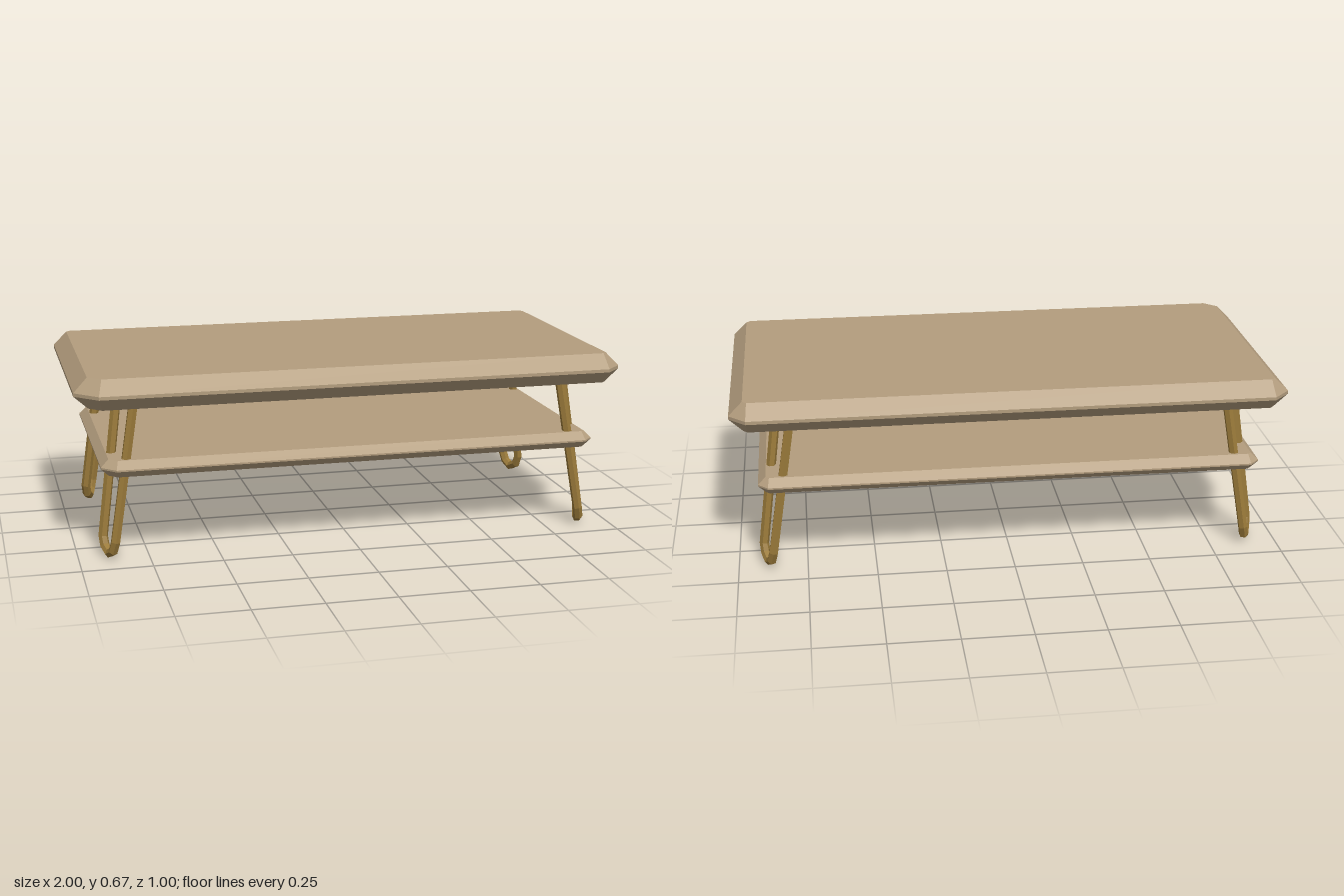
import * as THREE from 'three';

// Polyline whose corners land exactly on the tube's rings
class Polyline extends THREE.Curve {
  constructor(points) {
    super();
    this.points = points;
  }
  getUtoTmapping(u) {
    return u;
  }
  getPoint(t, target = new THREE.Vector3()) {
    const f = t * (this.points.length - 1);
    const i = Math.min(Math.floor(f), this.points.length - 2);
    return target.lerpVectors(this.points[i], this.points[i + 1], f - i);
  }
}

// Faceted normals
function flat(geometry) {
  const g = geometry.index ? geometry.toNonIndexed() : geometry;
  g.computeVertexNormals();
  return g;
}

// Rectangle with cut corners at height y; cut is the normal cut, oddCut the front corner at -x
function ring({ y, x, z, cut: c, oddCut: d }) {
  return [
    [x - c, z], [x, z - c],
    [x, c - z], [x - c, -z],
    [c - x, -z], [-x, c - z],
    [-x, z - d], [d - x, z],
  ].map(([px, pz]) => [px, y, pz]);
}

// Board lofted through rings from bottom to top, capped at both ends
function slab(levels) {
  const rings = levels.map(ring);
  const n = rings[0].length;
  const index = [];
  for (let r = 0; r < rings.length - 1; r++) {
    for (let i = 0; i < n; i++) {
      const a = r * n + i;
      const b = r * n + (i + 1) % n;
      index.push(a, b, b + n, a, b + n, a + n);
    }
  }
  const top = (rings.length - 1) * n;
  for (let i = 1; i < n - 1; i++) {
    index.push(top, top + i, top + i + 1);
    index.push(0, i + 1, i);
  }
  const g = new THREE.BufferGeometry();
  g.setAttribute('position', new THREE.Float32BufferAttribute(rings.flat(2), 3));
  g.setIndex(index);
  return flat(g);
}

// Bent rod of one leg, from the outer top down round the foot to the inner top
const rod = [
  [0.79, 0.575, 0.386], [0.872, 0.07, 0.413], [0.88, 0.035, 0.402],
  [0.89, 0.018, 0.37], [0.902, 0.036, 0.335], [0.906, 0.07, 0.322],
  [0.838, 0.575, 0.284],
];

export function createModel() {
  const wood = new THREE.MeshStandardMaterial({ color: 0xb39d7e });
  wood.name = 'wood';
  const brass = new THREE.MeshStandardMaterial({ color: 0x9a7a3a });
  brass.name = 'brass';

  const table = new THREE.Group();
  table.name = 'coffeeTable';
  const add = (name, geometry, material) => {
    const mesh = new THREE.Mesh(geometry, material);
    mesh.name = name;
    table.add(mesh);
  };

  // Bevelled boards
  add('tableTop', slab([
    { y: 0.56, x: 0.95, z: 0.45, cut: 0.015, oddCut: 0.045 },
    { y: 0.608, x: 1, z: 0.5, cut: 0.06, oddCut: 0.08 },
    { y: 0.62, x: 1, z: 0.5, cut: 0.06, oddCut: 0.08 },
    { y: 0.67, x: 0.95, z: 0.45, cut: 0.015, oddCut: 0.045 },
  ]), wood);
  add('shelf', slab([
    { y: 0.31, x: 0.885, z: 0.42, cut: 0.012, oddCut: 0.03 },
    { y: 0.337, x: 0.913, z: 0.45, cut: 0.035, oddCut: 0.05 },
    { y: 0.343, x: 0.913, z: 0.45, cut: 0.035, oddCut: 0.05 },
    { y: 0.37, x: 0.885, z: 0.42, cut: 0.012, oddCut: 0.03 },
  ]), wood);

  // Four hairpin legs
  for (const sx of [1, -1]) {
    for (const sz of [1, -1]) {
      const points = rod.map(([x, y, z]) => new THREE.Vector3(x * sx, y, z * sz));
      const tube = new THREE.TubeGeometry(new Polyline(points), rod.length - 1, 0.0175, 6);
      add(`${sz > 0 ? 'front' : 'back'}${sx > 0 ? 'Left' : 'Right'}Leg`, flat(tube), brass);
    }
  }
  return table;
}
